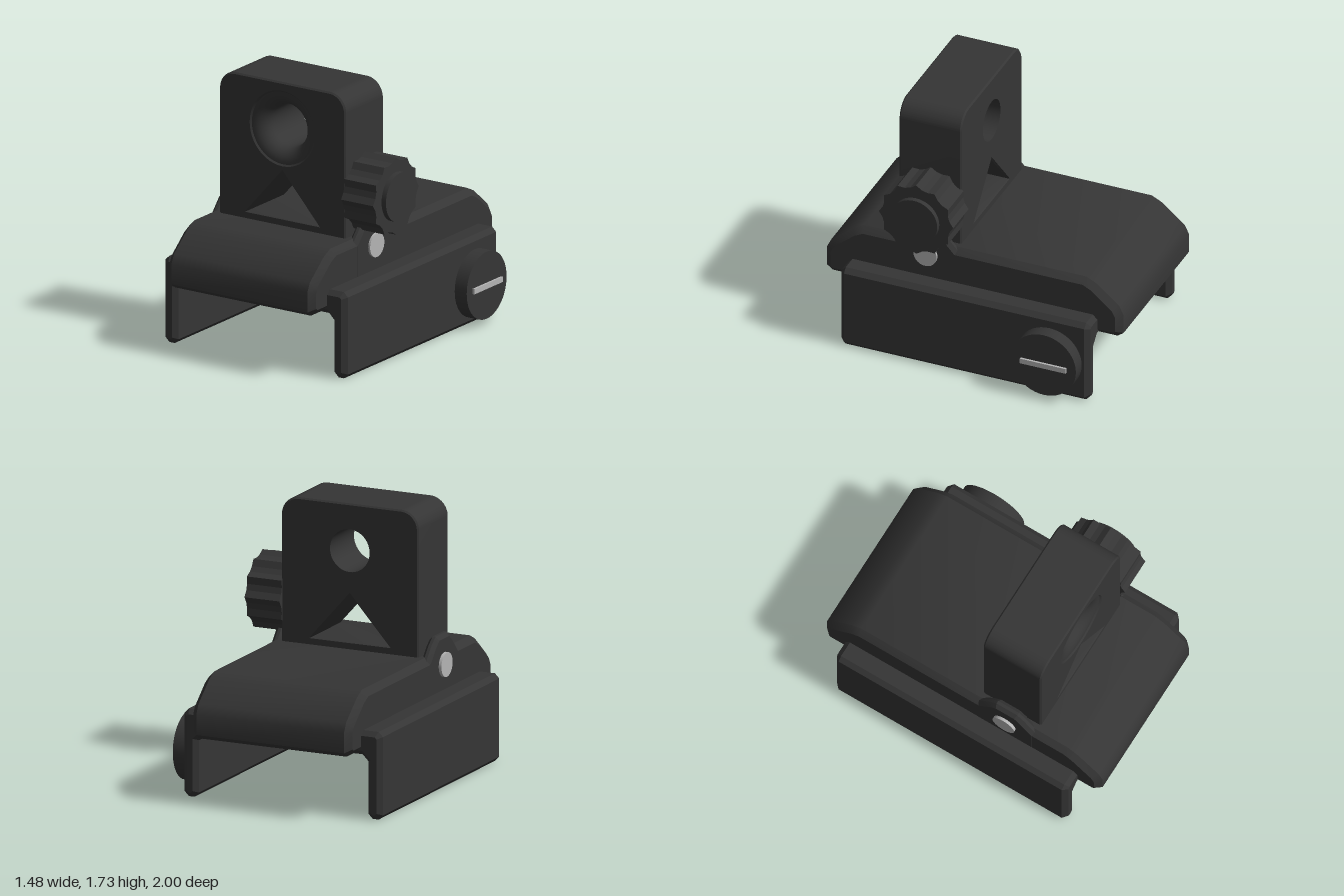
import * as THREE from 'three';
import { toCreasedNormals } from 'three/addons/utils/BufferGeometryUtils.js';

const CX = -0.055;   // centre line of the body
const PIN_Z = 0.315; // hinge axis

const black = new THREE.MeshStandardMaterial({ color: 0x353535 });
black.name = 'blackMetal';
const steel = new THREE.MeshStandardMaterial({ color: 0xb4b4b4 });
steel.name = 'brightSteel';

const shapeFrom = (pts) => new THREE.Shape(pts.map(([x, y]) => new THREE.Vector2(x, y)));

// Chamfered prism whose outline and total length stay exact, centred along z
function prism(shape, length, bevel, crease = 0.6) {
  const geo = new THREE.ExtrudeGeometry(shape, {
    depth: length - 2 * bevel, bevelEnabled: bevel > 0, bevelSize: bevel,
    bevelThickness: bevel, bevelOffset: -bevel, bevelSegments: 1, curveSegments: 24,
  });
  geo.translate(0, 0, -(length - 2 * bevel) / 2);
  return toCreasedNormals(geo, crease);
}

export function createModel() {
  const root = new THREE.Group();
  root.name = 'flipUpSight';

  const add = (name, geo, mat, x, y, z) => {
    const mesh = new THREE.Mesh(geo, mat);
    mesh.name = name;
    mesh.position.set(x, y, z);
    root.add(mesh);
    return mesh;
  };
  // Disc with its axis along x, from x0 to x1
  const disc = (name, mat, r, x0, x1, y, z) => add(name,
    new THREE.CylinderGeometry(r, r, x1 - x0, 48).rotateZ(-Math.PI / 2), mat, (x0 + x1) / 2, y, z);

  // Channel-shaped clamp with two hanging rails
  const half = [[0, 0.405], [0.545, 0.405], [0.585, 0.365], [0.585, 0.03],
    [0.615, 0], [0.655, 0], [0.685, 0.03], [0.685, 0.53], [0.655, 0.56], [0.5, 0.56]];
  const mirrored = half.slice(1).reverse().map(([x, y]) => [-x, y]);
  add('clampBase', prism(shapeFrom([...half.slice(1), ...mirrored]), 1.68, 0.03, 0.4), black, CX, 0, 0);

  // Body block with sloping ends
  const end = [[0.96, 0.42], [1, 0.45], [1, 0.58], [0.97, 0.64], [0.82, 0.765], [0.75, 0.8]];
  const body = [...end, ...end.slice().reverse().map(([z, y]) => [-z, y])];
  add('body', prism(shapeFrom(body), 1.1, 0.04).rotateY(Math.PI / 2), black, CX, 0, 0);

  // Hinge ears and pin
  const ear = shapeFrom([[-0.215, 0.5], [0.215, 0.5], [0.215, 0.77], [0.125, 0.87],
    [0.075, 0.91], [-0.075, 0.91], [-0.125, 0.87], [-0.215, 0.77]]);
  for (const s of [-1, 1]) {
    add(s > 0 ? 'leftEar' : 'rightEar', prism(ear, 0.068, 0.024, 0.4).rotateY(Math.PI / 2),
      black, CX + s * 0.517, 0, PIN_Z);
  }
  disc('hingePin', steel, 0.078, -0.625, 0.51, 0.72, PIN_Z);

  // Upright sight leaf with aperture and triangular window
  const w = 0.473, top = 1.73, r = 0.12, bevel = 0.01;
  const leaf = new THREE.Shape();
  leaf.moveTo(-w, 0.6);
  leaf.lineTo(w, 0.6);
  leaf.lineTo(w, top - r);
  leaf.absarc(w - r, top - r, r, 0, Math.PI / 2);
  leaf.lineTo(-w + r, top);
  leaf.absarc(-w + r, top - r, r, Math.PI / 2, Math.PI);
  leaf.closePath();
  const flare = 0.235, bore = 0.137, depth = 0.42;
  leaf.holes.push(new THREE.Path().absarc(0, 1.43, flare, 0, Math.PI * 2, true));
  leaf.holes.push(new THREE.Path([[-0.27, 0.845], [0, 1.147], [0.27, 0.845]]
    .map(([x, y]) => new THREE.Vector2(x, y))));
  add('sightLeaf', prism(leaf, depth, bevel), black, CX, 0, 0.32);

  // Aperture lining: flared mouth, straight bore, flat back ring
  const lining = [];
  const mouth = flare - bore;
  for (let i = 0; i <= 8; i++) {
    const a = (i / 8) * Math.PI / 2;
    lining.push(new THREE.Vector2(flare - mouth * Math.sin(a),
      depth - bevel - mouth * (1 - Math.cos(a))));
  }
  lining.push(new THREE.Vector2(bore, 0), new THREE.Vector2(flare + bevel, 0));
  const liningGeo = new THREE.LatheGeometry(lining, 48).rotateX(Math.PI / 2);
  add('apertureLining', toCreasedNormals(liningGeo, 0.6), black, CX, 1.43, 0.11);

  // Scalloped adjustment knob
  const knob = [];
  for (let i = 0; i < 36; i++) {
    const a = (i / 36) * Math.PI * 2;
    const rad = i % 3 === 0 ? 0.25 : 0.228;
    knob.push([rad * Math.cos(a), rad * Math.sin(a)]);
  }
  add('adjustmentKnob', prism(shapeFrom(knob), 0.24, 0, 0.25).rotateY(Math.PI / 2), black, 0.53, 1.062, PIN_Z);
  disc('knobCap', black, 0.157, 0.6, 0.683, 1.062, PIN_Z);

  // Clamp screw with its bright bar
  disc('clampScrew', black, 0.218, 0.6, 0.72, 0.262, -0.575);
  add('screwBar', new THREE.BoxGeometry(0.035, 0.034, 0.31), steel, 0.7175, 0.262, -0.575);

  return root;
}
